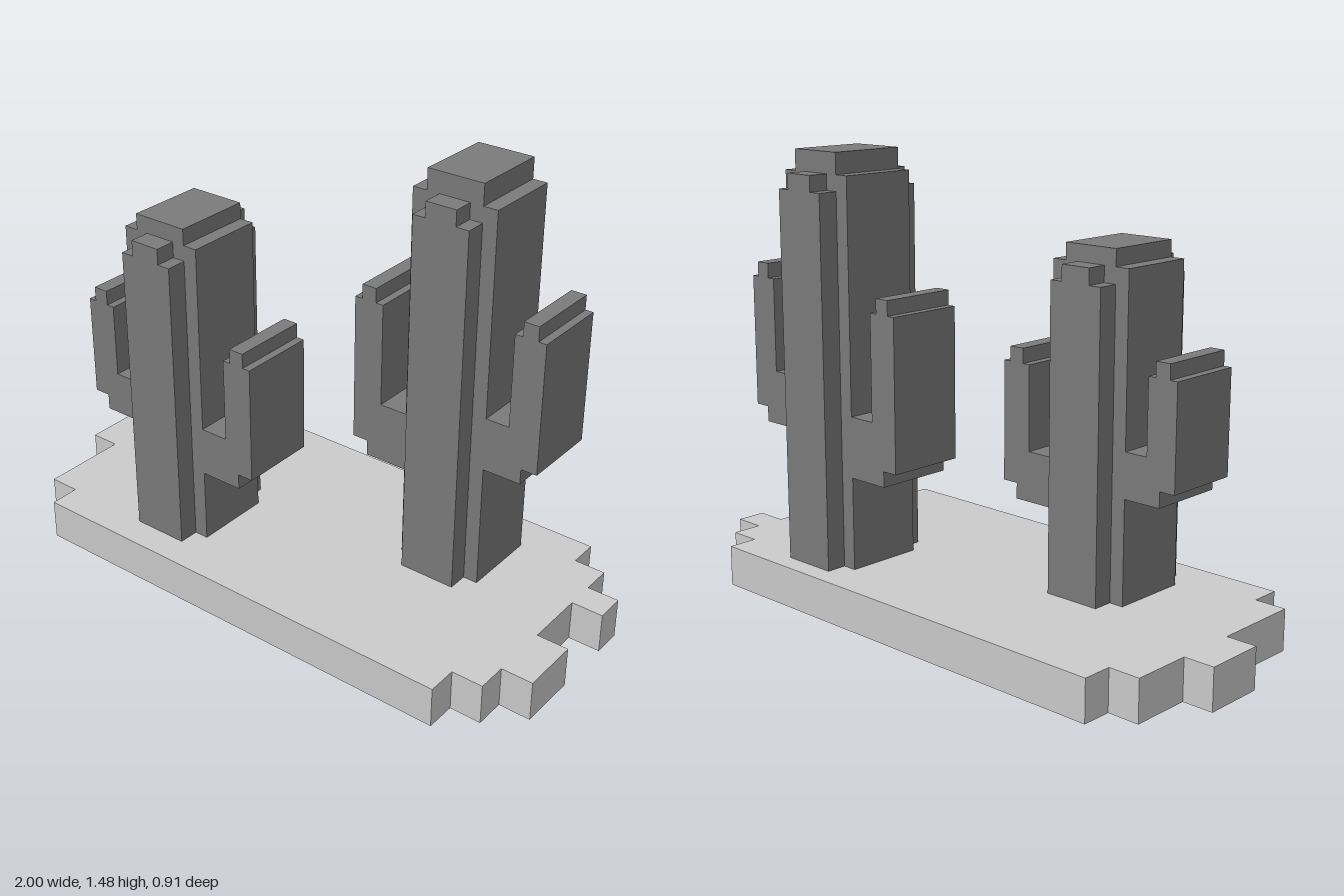
import * as THREE from 'three';

const groundMaterial = new THREE.MeshStandardMaterial({ color: 0xcccccc, flatShading: true });
const cactusMaterial = new THREE.MeshStandardMaterial({ color: 0x7b7b7b, flatShading: true });
const GROUND = 0.137;

// Extrudes a closed outline of [x, y] corners along z, from z0 to z1
function slab(name, corners, z0, z1, material) {
  const shape = new THREE.Shape(corners.map(([x, y]) => new THREE.Vector2(x, y)));
  const geometry = new THREE.ExtrudeGeometry(shape, { depth: z1 - z0, bevelEnabled: false });
  geometry.translate(0, 0, z0);
  const mesh = new THREE.Mesh(geometry, material);
  mesh.name = name;
  return mesh;
}

// Column with a narrower step on top: x0..x1 up to y1, then inset up to y2
function steppedColumn(x0, x1, y0, y1, y2, inset) {
  return [
    [x0, y0], [x1, y0], [x1, y1], [x1 - inset, y1],
    [x1 - inset, y2], [x0 + inset, y2], [x0 + inset, y1], [x0, y1],
  ];
}

// Bent arm leaving the trunk at trunkX; side is -1 or +1
function armOutline(trunkX, side, { reach, low, elbow, top }) {
  const inner = trunkX + side * reach;
  const outer = inner + side * 0.106;
  const notch = outer - side * 0.055;
  const inset = side * 0.027;
  const shoulder = top - 0.049;
  return [
    [trunkX, low], [notch, low], [notch, low + 0.052], [outer, low + 0.052],
    [outer, shoulder], [outer - inset, shoulder], [outer - inset, top],
    [inner + inset, top], [inner + inset, shoulder], [inner, shoulder],
    [inner, elbow], [trunkX, elbow],
  ];
}

function cactus({ name, x, z, shoulder, top, rightArm, leftArm }) {
  const group = new THREE.Group();
  group.name = name;
  const half = 0.146, depth = 0.132, rib = 0.201;
  const addSlab = (part, corners, z0, z1) => group.add(slab(part, corners, z + z0, z + z1, cactusMaterial));

  // Trunk with its raised cap
  addSlab('trunk', steppedColumn(x - half, x + half, GROUND, shoulder, top, 0.049), -depth, depth);

  // Ribs on the front and back of the trunk
  const ribOutline = steppedColumn(x - 0.097, x + 0.097, GROUND, shoulder - 0.052, shoulder, 0.044);
  addSlab('frontRib', ribOutline, depth, rib);
  addSlab('backRib', ribOutline, -rib, -depth);

  // Arms
  addSlab('rightArm', armOutline(x - half, -1, rightArm), -depth, depth);
  addSlab('leftArm', armOutline(x + half, 1, leftArm), -depth, depth);
  return group;
}

export function createModel() {
  const model = new THREE.Group();
  model.name = 'cactusPair';

  // Ground slab with stepped ends, drawn in plan as [x, z]
  const plan = [
    [-0.79, 0.457], [0.787, 0.457], [0.787, 0.355], [0.893, 0.355], [0.893, 0.253], [1, 0.253],
    [1, 0.052], [0.893, 0.052], [0.893, -0.154], [1, -0.154], [1, -0.254], [0.893, -0.254],
    [0.893, -0.356], [0.787, -0.356], [0.787, -0.457], [-0.79, -0.457], [-0.79, -0.356],
    [-0.897, -0.356], [-0.897, -0.154], [-1, -0.154], [-1, 0.052], [-0.897, 0.052],
    [-0.897, 0.355], [-0.79, 0.355],
  ];
  const ground = slab('ground', plan.map(([x, z]) => [x, -z]), 0, GROUND, groundMaterial);
  ground.geometry.rotateX(-Math.PI / 2);
  model.add(ground);

  model.add(cactus({
    name: 'shortCactus', x: -0.383, z: 0.156, shoulder: 1.18, top: 1.234,
    rightArm: { reach: 0.08, low: 0.48, elbow: 0.628, top: 0.922 },
    leftArm: { reach: 0.097, low: 0.388, elbow: 0.553, top: 0.883 },
  }));
  model.add(cactus({
    name: 'tallCactus', x: 0.456, z: -0.188, shoulder: 1.414, top: 1.483,
    rightArm: { reach: 0.097, low: 0.447, elbow: 0.65, top: 1.048 },
    leftArm: { reach: 0.08, low: 0.56, elbow: 0.74, top: 1.1 },
  }));
  return model;
}
